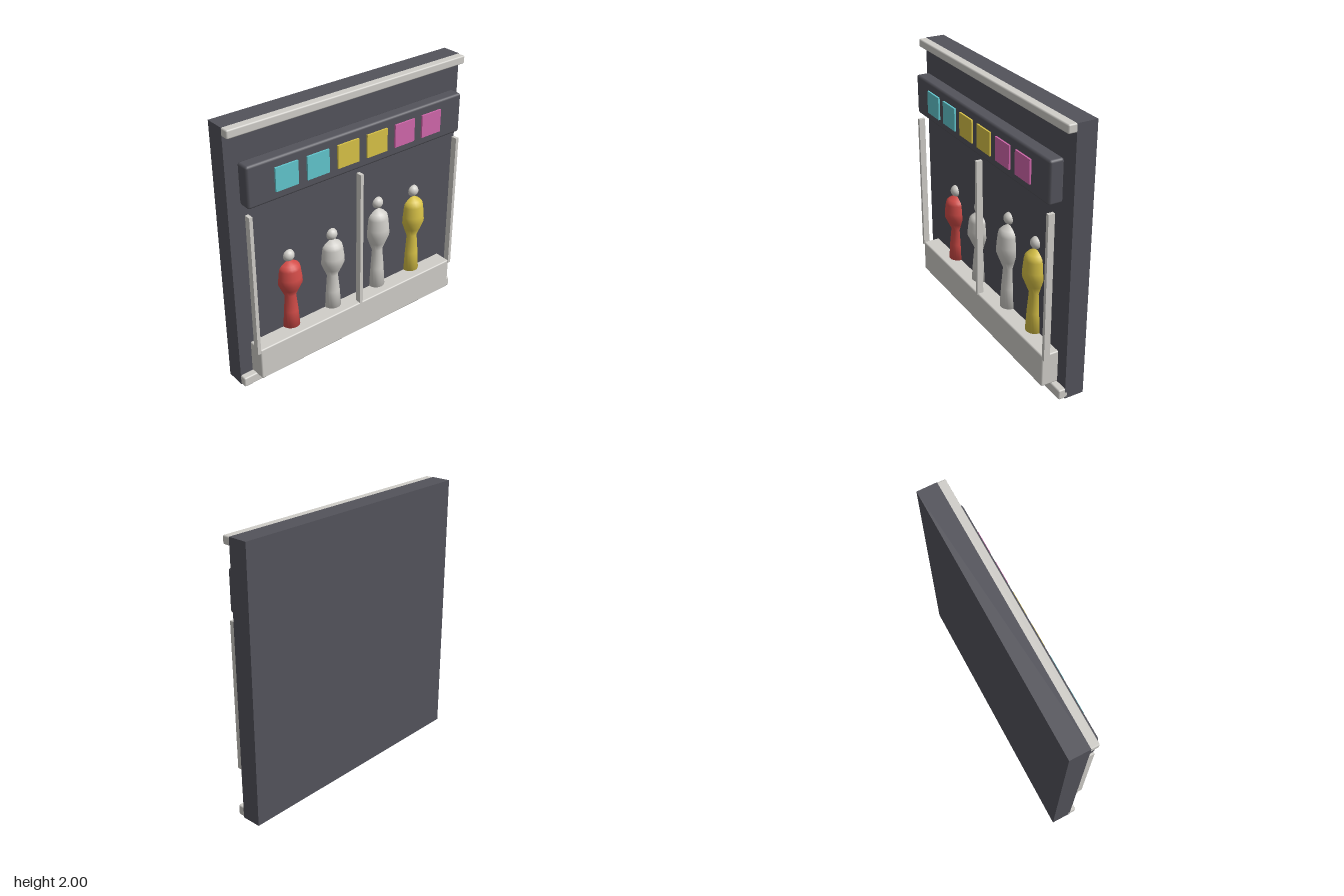
import * as THREE from 'three';
import { RoundedBoxGeometry } from 'three/addons/geometries/RoundedBoxGeometry.js';

const mat = (name, color) => {
  const m = new THREE.MeshStandardMaterial({ color });
  m.name = name;
  return m;
};

export function createModel() {
  const group = new THREE.Group();
  const charcoal = mat('charcoal', 0x53535b);
  const stone = mat('pale stone', 0xd0cec9);
  const red = mat('red', 0xd24c48);
  const yellow = mat('yellow', 0xd8c247);
  const cyan = mat('cyan', 0x62c6ce);
  const pink = mat('pink', 0xd167ab);

  // Box given by its limits, with chamfered edges when bevel > 0
  const box = (name, material, [x0, x1], [y0, y1], [z0, z1], bevel = 0, parent = group) => {
    const size = [x1 - x0, y1 - y0, z1 - z0];
    const geo = bevel ? new RoundedBoxGeometry(...size, 1, bevel) : new THREE.BoxGeometry(...size);
    const mesh = new THREE.Mesh(geo, material);
    mesh.name = name;
    mesh.position.set((x0 + x1) / 2, (y0 + y1) / 2, (z0 + z1) / 2);
    parent.add(mesh);
  };

  // Wall, trims and display plinth
  box('wallPanel', charcoal, [-1, 1], [0, 2], [-0.142, 0.005]);
  box('topTrim', stone, [-1, 1], [1.94, 2], [-0.005, 0.065], 0.01);
  box('bottomTrim', stone, [-1, 1], [0.005, 0.08], [-0.02, 0.055], 0.01);
  box('plinth', stone, [-0.9, 0.9], [0.08, 0.33], [-0.03, 0.132], 0.01);

  // Window posts
  for (const x of [-0.911, -0.002, 0.908]) {
    box('windowPost', stone, [x - 0.013, x + 0.013], [0.305, 1.4], [0.085, 0.132]);
  }

  // Sign board with coloured tiles
  box('signBoard', charcoal, [-0.922, 0.918], [1.455, 1.755], [0.026, 0.13], 0.017);
  [cyan, cyan, yellow, yellow, pink, pink].forEach((m, i) => {
    const x = -0.628 + i * 0.25;
    box('signTile', m, [x - 0.089, x + 0.089], [1.52, 1.69], [0.125, 0.143]);
  });

  // Mannequins: radius against fraction of body height
  const profile = [
    [0, 0], [0.067, 0], [0.058, 0.25], [0.045, 0.5], [0.07, 0.6], [0.096, 0.71],
    [0.093, 0.79], [0.084, 0.92], [0.078, 0.96], [0.06, 0.99], [0.02, 1.03], [0, 1.03],
  ];
  const mannequin = (x, height, material) => {
    const figure = new THREE.Group();
    figure.name = 'mannequin';
    figure.position.set(x, 0.33, 0.003);
    const points = profile.map(([r, t]) => new THREE.Vector2(r, t * height));
    const body = new THREE.Mesh(new THREE.LatheGeometry(points, 20), material);
    body.name = 'mannequinBody';
    const head = new THREE.Mesh(new THREE.SphereGeometry(0.045, 16, 12), stone);
    head.name = 'mannequinHead';
    head.position.y = height * 1.116;
    figure.add(body, head);
    group.add(figure);
  };
  mannequin(-0.553, 0.522, red);
  mannequin(-0.178, 0.544, stone);
  mannequin(0.247, 0.636, stone);
  mannequin(0.597, 0.616, yellow);

  return group;
}
